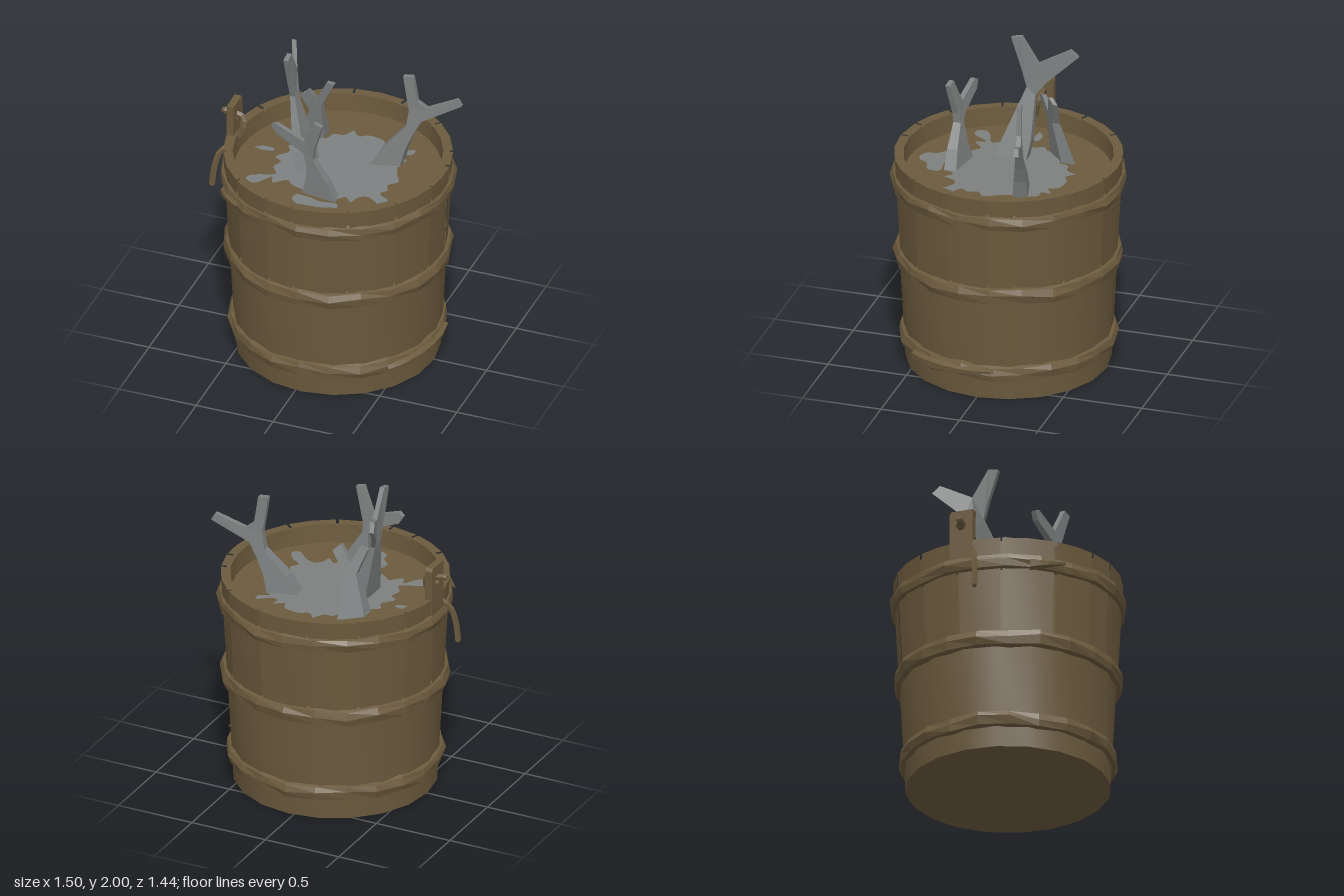
import * as THREE from 'three';
import { toCreasedNormals } from 'three/addons/utils/BufferGeometryUtils.js';

const CX = 0.035;                 // bucket axis
const DIRT = 1.24;                // fill height
const wall = (y) => 0.625 + 0.072 * (y / 1.36);
const v2 = (x, y) => new THREE.Vector2(x, y);

const wood = new THREE.MeshStandardMaterial({ color: 0x6b5a3d });
wood.name = 'brown wood';
const bone = new THREE.MeshStandardMaterial({ color: 0x7d8080 });
bone.name = 'grey';

// Move every vertex by a rule
function warp(geo, rule) {
  const p = geo.attributes.position;
  const v = new THREE.Vector3();
  for (let i = 0; i < p.count; i++) {
    v.fromBufferAttribute(p, i);
    rule(v);
    p.setXYZ(i, v.x, v.y, v.z);
  }
  return geo;
}

function flat(geo) {
  const g = geo.index ? geo.toNonIndexed() : geo;
  g.computeVertexNormals();
  return g;
}

export function createModel() {
  const model = new THREE.Group();
  model.name = 'bucket';
  const tub = new THREE.Group();
  tub.name = 'tub';
  tub.position.x = CX;
  model.add(tub);

  const add = (parent, name, geo, mat = wood) => {
    const m = new THREE.Mesh(geo, mat);
    m.name = name;
    parent.add(m);
    return m;
  };

  // Lower wall with closed bottom
  add(tub, 'lowerWall', toCreasedNormals(new THREE.LatheGeometry(
    [v2(0, 0), v2(wall(0), 0), v2(wall(0.72), 0.72), v2(wall(0.72) - 0.05, 0.72)], 20), 0.7));

  // Liner seen through the gaps between the staves, and the inside of the rim
  add(tub, 'liner', toCreasedNormals(new THREE.LatheGeometry(
    [v2(wall(0.7) - 0.03, 0.7), v2(wall(1.35) - 0.03, 1.35), v2(0.64, 1.35), v2(0.63, DIRT - 0.02)], 36), 0.7));

  // Upper staves with narrow gaps
  const gaps = [-167, -141, -115, -92, -69, -41, -18, -3, 26, 52, 76, 97, 111, 138, 165];
  gaps.forEach((a, i) => {
    const b = i + 1 < gaps.length ? gaps[i + 1] : gaps[0] + 360;
    const gap = 0.45 + 0.2 * (i % 3);
    const start = THREE.MathUtils.degToRad(a + gap);
    const len = THREE.MathUtils.degToRad(b - a - 2 * gap);
    const geo = new THREE.LatheGeometry(
      [v2(wall(0.7), 0.7), v2(wall(1.36), 1.36), v2(0.638, 1.36), v2(0.636, 1.33)],
      Math.max(1, Math.round((b - a) / 13)), start, len);
    add(tub, 'stave', toCreasedNormals(geo, 0.7));
  });

  // Uneven hoops
  function hoop(name, y0, y1, bulge, seed) {
    const h = y1 - y0;
    const pts = [[-0.01, 0], [bulge * 0.75, 0.1], [bulge, 0.55], [bulge * 0.55, 0.9], [-0.01, 1]]
      .map(([r, t]) => v2(wall(y0 + t * h) + r, y0 + t * h));
    const geo = warp(new THREE.LatheGeometry(pts, 22), (v) => {
      const a = Math.atan2(v.x, v.z);
      const t = (v.y - y0) / h;
      const k = Math.sin(Math.PI * THREE.MathUtils.clamp(t, 0, 1));
      const s = 1 + k * 0.009 * Math.sin(7 * a + seed + 5 * t);
      v.x *= s;
      v.z *= s;
      v.y += 0.012 * Math.sin(5 * a + seed * 2) * k + 0.006 * Math.sin(9 * a + seed);
    });
    add(tub, name, flat(geo));
  }
  hoop('lowerHoop', 0.125, 0.23, 0.032, 1);
  hoop('middleHoop', 0.65, 0.765, 0.036, 2.6);
  hoop('upperHoop', 1.155, 1.255, 0.03, 4.1);

  // Loose hoop ends: tapering raised strips
  function flap(y, h, fromDeg, toDeg) {
    const a0 = THREE.MathUtils.degToRad(fromDeg);
    const len = THREE.MathUtils.degToRad(toDeg - fromDeg);
    const r = wall(y) + 0.02;
    const geo = new THREE.LatheGeometry(
      [v2(r, y - h / 2), v2(r + 0.025, y - h * 0.3), v2(r + 0.028, y + h * 0.2), v2(r, y + h / 2)], 4, a0, len);
    warp(geo, (v) => {
      const t = (Math.atan2(v.x, v.z) - a0) / len;
      v.y = y + (v.y - y) * (1 - 0.8 * t) + 0.03 * t;
    });
    add(tub, 'hoopEnd', flat(geo));
  }
  flap(1.18, 0.08, -55, -37);
  flap(0.16, 0.08, 48, 74);
  flap(0.17, 0.09, 62, 100);

  // Fill and the grey spill on top of it
  const fill = add(tub, 'fill', new THREE.CircleGeometry(0.645, 36).rotateX(-Math.PI / 2));
  fill.position.y = DIRT;

  function spill(name, pts) {
    const p = pts.map(([x, z]) => v2(x, -z));
    const s = new THREE.Shape();
    s.moveTo(p[0].x, p[0].y);
    s.splineThru([...p.slice(1), p[0]]);
    const m = add(model, name, new THREE.ShapeGeometry(s, 3).rotateX(-Math.PI / 2), bone);
    m.position.y = DIRT + 0.006;
  }
  spill('spill', [
    [-0.02, -0.41], [0.03, -0.36], [0.09, -0.39], [0.19, -0.37], [0.22, -0.31], [0.28, -0.35], [0.28, -0.29],
    [0.33, -0.29], [0.4, -0.34], [0.41, -0.29], [0.35, -0.25], [0.4, -0.21], [0.37, -0.15], [0.4, -0.05],
    [0.44, 0.03], [0.39, 0.08], [0.41, 0.14], [0.38, 0.19], [0.45, 0.24], [0.49, 0.31], [0.45, 0.34],
    [0.38, 0.28], [0.32, 0.25], [0.27, 0.28], [0.25, 0.34], [0.2, 0.3], [0.15, 0.34], [0.05, 0.33],
    [-0.05, 0.32], [-0.15, 0.29], [-0.2, 0.25], [-0.27, 0.31], [-0.3, 0.25], [-0.36, 0.34], [-0.42, 0.35],
    [-0.44, 0.3], [-0.4, 0.26], [-0.32, 0.23], [-0.29, 0.2], [-0.33, 0.14], [-0.31, 0.07], [-0.36, 0.03],
    [-0.3, -0.05], [-0.33, -0.11], [-0.28, -0.15], [-0.29, -0.22], [-0.22, -0.3], [-0.15, -0.26],
    [-0.12, -0.33], [-0.06, -0.34]]);
  spill('frontBlob', [[-0.09, 0.37], [0, 0.38], [0.07, 0.4], [0.18, 0.39], [0.18, 0.47], [0.1, 0.5],
    [0.07, 0.55], [0.02, 0.57], [-0.04, 0.54], [-0.05, 0.48], [-0.1, 0.43]]);
  spill('sideBlob', [[-0.52, -0.02], [-0.47, -0.055], [-0.4, -0.05], [-0.4, -0.02], [-0.46, -0.01]]);

  // Forked branches: extruded outline, thinning upward, leaned by a rule
  function branch(name, outline, thick, place) {
    const geo = new THREE.ExtrudeGeometry(new THREE.Shape(outline.map(([u, y]) => v2(u, y))),
      { depth: 1, bevelEnabled: false });
    warp(geo, (v) => {
      const k = THREE.MathUtils.clamp((v.y - DIRT) / 0.4, 0, 1);
      place(v, (v.z - 0.5) * THREE.MathUtils.lerp(thick, 0.03, k));
    });
    add(model, name, flat(geo), bone);
  }
  branch('leftBranch', [[0.2, 1.23], [0.38, 1.23], [0.41, 1.36], [0.45, 1.46], [0.5, 1.56], [0.735, 1.685],
    [0.71, 1.73], [0.53, 1.655], [0.475, 1.7], [0.45, 1.875], [0.39, 1.875], [0.425, 1.63], [0.41, 1.52], [0.27, 1.36]],
  0.1, (v, w) => { v.z = -0.14 - 0.25 * (v.x - 0.2) + w; });
  branch('frontBranch', [[-0.07, 1.23], [0.16, 1.23], [0.1, 1.36], [0.01, 1.5], [0.015, 1.56], [0.08, 1.77],
    [0.023, 1.785], [-0.055, 1.62], [-0.24, 1.69], [-0.275, 1.67], [-0.245, 1.62], [-0.07, 1.54], [-0.03, 1.5], [-0.04, 1.36]],
  0.08, (v, w) => { v.z = 0.335 + 0.16 * v.x + 0.1 * (v.y - 1.5) + w; });
  branch('backBranch', [[-0.29, 1.23], [-0.16, 1.23], [-0.16, 1.5], [-0.085, 1.66], [-0.12, 1.69], [-0.18, 1.57],
    [-0.21, 1.66], [-0.25, 1.63], [-0.215, 1.5]],
  0.09, (v, w) => { v.z = -0.22 - 0.9 * (v.x + 0.165) + 0.3 * (v.y - 1.55) + w; });
  branch('tallBranch', [[0.14, 1.23], [0.1, 1.36], [-0.02, 1.67], [0.015, 1.79], [0.08, 1.985], [0.015, 2],
    [-0.09, 1.83], [-0.27, 1.91], [-0.315, 1.86], [-0.135, 1.7], [-0.08, 1.63], [-0.08, 1.36], [-0.06, 1.23]],
  0.09, (v, w) => {
    const z = v.x;
    const lean = 0.12 * Math.min(1, (v.y - DIRT) / 0.45);
    v.x = -0.155 - lean + 0.42 * Math.min(0, z + 0.08) - w;
    v.z = z;
  });

  // Handle ear with a hole
  const ear = new THREE.Shape([v2(-0.075, 1.2), v2(0.075, 1.2), v2(0.075, 1.55), v2(0.06, 1.57), v2(-0.08, 1.565)]);
  const hole = new THREE.Path();
  hole.absarc(0, 1.47, 0.035, 0, Math.PI * 2, true);
  ear.holes.push(hole);
  const earMesh = add(model, 'handleEar', flat(new THREE.ExtrudeGeometry(ear,
    { depth: 0.045, bevelEnabled: false, curveSegments: 3 }).rotateY(Math.PI / 2)));
  earMesh.position.x = -0.66;

  // Broken rope handle: stub through the ear and a tail hanging outside
  function rope(name, pts, r) {
    const curve = new THREE.CatmullRomCurve3(pts.map((p) => new THREE.Vector3(...p)));
    add(model, name, flat(new THREE.TubeGeometry(curve, 7, r, 5, false)));
    pts.filter((p, i) => i === 0 || i === pts.length - 1).forEach((p) => {
      add(model, name + 'End', flat(new THREE.IcosahedronGeometry(r * 1.02, 0))).position.set(...p);
    });
  }
  rope('ropeStub', [[-0.7, 1.49, 0.01], [-0.64, 1.48, 0], [-0.585, 1.46, 0], [-0.575, 1.4, 0.02], [-0.6, 1.33, 0.03]], 0.021);
  rope('ropeTail', [[-0.64, 1.29, 0.08], [-0.69, 1.25, 0.1], [-0.72, 1.15, 0.12], [-0.735, 1.02, 0.125]], 0.019);

  return model;
}
